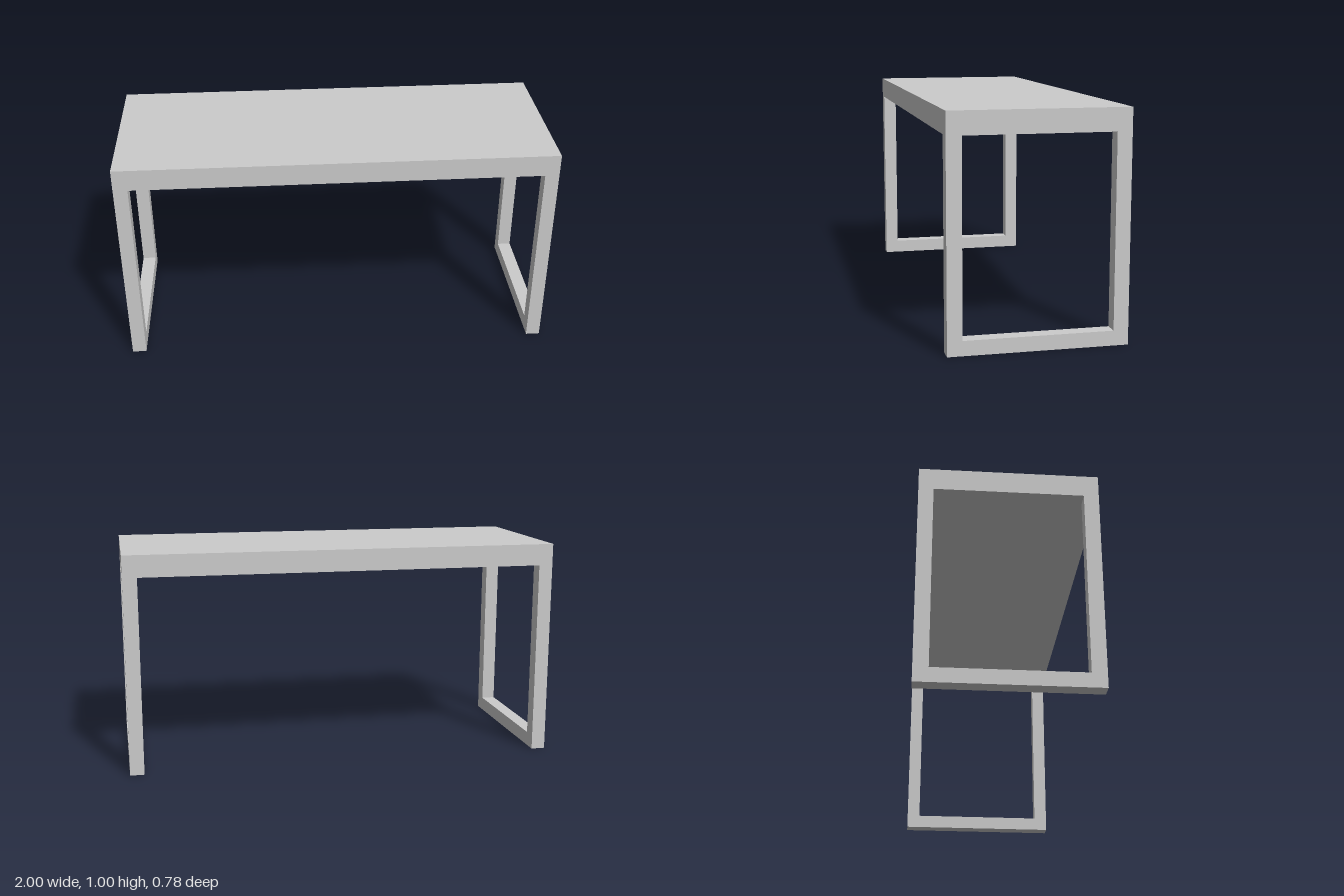
import * as THREE from 'three';

const WIDTH = 2, DEPTH = 0.776, HEIGHT = 1.005;
const TOP = 0.1;   // tabletop thickness
const BAR = 0.065; // square bar of the leg frames

export function createModel() {
  const group = new THREE.Group();
  group.name = 'table';
  const material = new THREE.MeshStandardMaterial({ color: 0xcccccc, flatShading: true });

  // Solid tabletop slab
  const top = new THREE.Mesh(new THREE.BoxGeometry(WIDTH, TOP, DEPTH), material);
  top.name = 'tabletop';
  top.position.y = HEIGHT - TOP / 2;
  group.add(top);

  // U-shaped leg frame: two uprights joined by a floor bar
  const h = HEIGHT - TOP, d = DEPTH / 2, i = d - BAR;
  const outline = new THREE.Shape([
    [-d, 0], [d, 0], [d, h], [i, h], [i, BAR], [-i, BAR], [-i, h], [-d, h],
  ].map(([z, y]) => new THREE.Vector2(z, y)));
  const frameGeometry = new THREE.ExtrudeGeometry(outline, { depth: BAR, bevelEnabled: false });
  frameGeometry.translate(0, 0, -BAR / 2).rotateY(Math.PI / 2);

  // One frame flush with each end
  for (const [name, side] of [['leftLegFrame', 1], ['rightLegFrame', -1]]) {
    const frame = new THREE.Mesh(frameGeometry, material);
    frame.name = name;
    frame.position.x = side * (WIDTH - BAR) / 2;
    group.add(frame);
  }
  return group;
}
